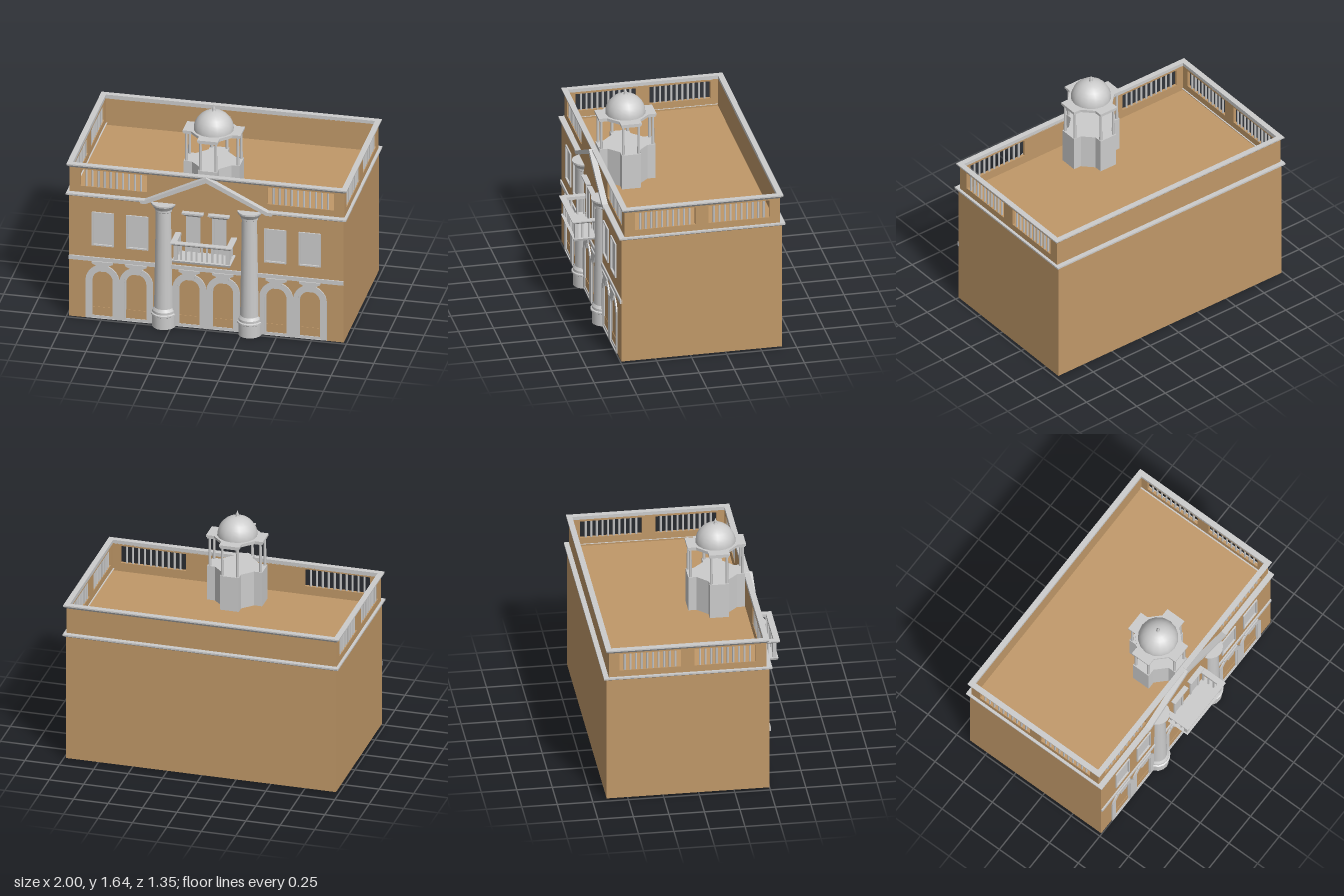
import * as THREE from 'three';

const grey = new THREE.MeshStandardMaterial({ color: 0xcccccc, side: THREE.DoubleSide });
const brown = new THREE.MeshStandardMaterial({ color: 0xc09868, side: THREE.DoubleSide });

function add(parent, name, geometry, material, x = 0, y = 0, z = 0) {
  const mesh = new THREE.Mesh(geometry, material);
  mesh.name = name;
  mesh.position.set(x, y, z);
  parent.add(mesh);
  return mesh;
}

// box given by its limits
function box(parent, name, mat, x0, x1, y0, y1, z0, z1) {
  return add(parent, name, new THREE.BoxGeometry(x1 - x0, y1 - y0, z1 - z0), mat,
    (x0 + x1) / 2, (y0 + y1) / 2, (z0 + z1) / 2);
}

const poly = (pts) => new THREE.Shape(pts.map((p) => new THREE.Vector2(p[0], p[1])));
const rect = (x0, x1, y0, y1) => poly([[x0, y0], [x1, y0], [x1, y1], [x0, y1]]);
const extrude = (shape, depth) =>
  new THREE.ExtrudeGeometry(shape, { depth, bevelEnabled: false, curveSegments: 8 });

function arch(cx, half, y0, spring = 0.31) {
  const s = new THREE.Shape();
  s.moveTo(cx - half, y0);
  s.lineTo(cx + half, y0);
  s.lineTo(cx + half, spring);
  s.absarc(cx, spring, half, 0, Math.PI, false);
  s.lineTo(cx - half, y0);
  return s;
}

// moulding: path points [x, z, outX, outZ], profile points [offset, y]
function moulding(path, profile) {
  const pos = [];
  const at = (p, q) => [p[0] + p[2] * q[0], q[1], p[1] + p[3] * q[0]];
  for (let i = 0; i < path.length - 1; i++) {
    for (let j = 0; j < profile.length - 1; j++) {
      const a = at(path[i], profile[j]), b = at(path[i + 1], profile[j]);
      const c = at(path[i + 1], profile[j + 1]), d = at(path[i], profile[j + 1]);
      pos.push(...a, ...c, ...b, ...a, ...d, ...c);
    }
  }
  const g = new THREE.BufferGeometry();
  g.setAttribute('position', new THREE.Float32BufferAttribute(pos, 3));
  g.computeVertexNormals();
  return g;
}

const archX = [-0.74, -0.5, -0.12, 0.12, 0.5, 0.74];
const windowX = [-0.738, -0.492, 0.492, 0.738];
const doorX = [-0.093, 0.093];

function buildWalls(g) {
  // front wall with openings, other walls, flat roof; open underneath
  const front = rect(-0.98, 0.98, 0.01, 0.96);
  for (const x of archX) front.holes.push(arch(x, 0.1, 0.016));
  for (const x of windowX) front.holes.push(rect(x - 0.072, x + 0.072, 0.586, 0.834));
  add(g, 'frontWall', new THREE.ShapeGeometry(front, 8), brown, 0, 0, 0.497);
  add(g, 'backWall', new THREE.PlaneGeometry(1.96, 0.95), brown, 0, 0.485, -0.65).rotation.y = Math.PI;
  for (const s of [-1, 1]) {
    add(g, 'sideWall', new THREE.PlaneGeometry(1.147, 0.95), brown, s * 0.98, 0.485, -0.0765).rotation.y = s * Math.PI / 2;
  }
  add(g, 'roof', new THREE.PlaneGeometry(1.96, 1.147), brown, 0, 0.955, -0.0765).rotation.x = -Math.PI / 2;
  box(g, 'beltCourse', grey, -0.98, 0.98, 0.457, 0.488, 0.49, 0.507);
}

function buildArches(g) {
  for (const x of archX) {
    const outer = arch(x, 0.12, 0.015);
    outer.holes.push(arch(x, 0.085, 0.016));
    add(g, 'archFrame', extrude(outer, 0.015), grey, 0, 0, 0.492);
    const inner = arch(x, 0.086, 0.015);
    inner.holes.push(arch(x, 0.072, 0.035));
    add(g, 'archInnerFrame', extrude(inner, 0.011), grey, 0, 0, 0.49);
    add(g, 'archPanel', new THREE.ShapeGeometry(arch(x, 0.074, 0.03), 8), brown, 0, 0, 0.493);
    box(g, 'archPlinth', brown, x - 0.072, x + 0.072, 0.035, 0.1, 0.49, 0.496);
    // scalloped keystone
    add(g, 'keystone', extrude(poly([[x - 0.032, 0.385], [x + 0.032, 0.385], [x + 0.045, 0.43],
      [x + 0.075, 0.445], [x + 0.075, 0.46], [x - 0.075, 0.46], [x - 0.075, 0.445], [x - 0.045, 0.43]]), 0.025), grey, 0, 0, 0.49);
  }
}

function buildWindows(g) {
  for (const x of windowX) {
    const frame = rect(x - 0.078, x + 0.078, 0.58, 0.84);
    frame.holes.push(rect(x - 0.068, x + 0.068, 0.59, 0.83));
    add(g, 'windowFrame', extrude(frame, 0.015), grey, 0, 0, 0.492);
    add(g, 'windowPanel', new THREE.ShapeGeometry(rect(x - 0.074, x + 0.074, 0.584, 0.836)), grey, 0, 0, 0.494);
  }
  // balcony doors with projecting heads
  for (const x of doorX) {
    const frame = rect(x - 0.05, x + 0.05, 0.59, 0.9);
    frame.holes.push(rect(x - 0.036, x + 0.036, 0.6, 0.885));
    add(g, 'doorFrame', extrude(frame, 0.015), grey, 0, 0, 0.492);
    box(g, 'doorPanel', grey, x - 0.04, x + 0.04, 0.59, 0.89, 0.49, 0.5);
    const head = moulding([[x - 0.05, 0.497, -1, 0], [x - 0.05, 0.507, -1, 1], [x + 0.05, 0.507, 1, 1], [x + 0.05, 0.497, 1, 0]],
      [[0, 0.88], [0.022, 0.902], [0.026, 0.902], [0.026, 0.915], [-0.01, 0.915]]);
    add(g, 'doorHead', head, grey);
  }
}

function buildColumns(g) {
  // half-round tapered columns
  const profile = [[0.083, 0], [0.083, 0.09], [0.093, 0.097], [0.093, 0.108], [0.083, 0.113], [0.083, 0.13],
    [0.07, 0.15], [0.058, 0.895], [0.064, 0.9], [0.064, 0.915], [0.07, 0.92], [0.09, 0.95], [0.09, 0.962], [0, 0.962]];
  // doubled points keep the mouldings crisp
  const pts = profile.flatMap((p) => [new THREE.Vector2(...p), new THREE.Vector2(...p)]).slice(1, -1);
  for (const x of [-0.307, 0.307]) {
    add(g, 'column', new THREE.LatheGeometry(pts, 8, -Math.PI / 2, Math.PI), grey, x, 0, 0.478);
  }
}

function buildBalcony(g) {
  const path = [[-0.19, 0.497, -1, 0], [-0.19, 0.65, -1, 1], [0.19, 0.65, 1, 1], [0.19, 0.497, 1, 0]];
  box(g, 'balconyFloor', grey, -0.19, 0.19, 0.585, 0.603, 0.49, 0.65);
  add(g, 'balconyFloorEdge', moulding(path, [[0, 0.583], [0.014, 0.59], [0.02, 0.607], [0, 0.607]]), grey);
  add(g, 'balconyRail', moulding(path, [[-0.012, 0.722], [0.012, 0.722], [0.03, 0.737], [0.03, 0.745], [-0.012, 0.745], [-0.012, 0.722]]), grey);
  const post = (x, z, w) => box(g, 'baluster', grey, x - w, x + w, 0.603, 0.725, z - w, z + w);
  for (const s of [-1, 1]) {
    post(s * 0.186, 0.645, 0.013);
    for (const z of [0.51, 0.555, 0.6]) post(s * 0.186, z, 0.006);
  }
  for (let i = 1; i < 10; i++) post(-0.186 + i * 0.0372, 0.645, 0.006);
}

function buildParapet(g) {
  const y0 = 0.95, y1 = 1.165, lo = 1.02, hi = 1.15;
  const pierced = (a, b, openings) => {
    const s = rect(a, b, y0, y1);
    for (const [l, r] of openings) s.holes.push(rect(l, r, lo, hi));
    return extrude(s, 0.02);
  };
  const frontOpen = [[-0.905, -0.43], [0.43, 0.905]];
  const sideOpen = [[-0.4, 0.03], [0.125, 0.56]];
  add(g, 'frontParapet', pierced(-0.98, 0.98, frontOpen), brown, 0, 0, 0.455);
  box(g, 'backParapet', brown, -0.98, 0.98, y0, y1, -0.635, -0.615);
  for (const x of [-0.98, 0.96]) {
    add(g, 'sideParapet', pierced(-0.474, 0.634, sideOpen), brown, x, 0, 0).rotation.y = Math.PI / 2;
  }
  const bars = (openings, place) => {
    for (const [l, r] of openings) {
      for (let i = 1; i <= 10; i++) place(l + (r - l) * i / 11);
    }
  };
  const bar = (x, z) => add(g, 'parapetBaluster', new THREE.CylinderGeometry(0.008, 0.008, hi - lo, 6), grey, x, (lo + hi) / 2, z);
  bars(frontOpen, (t) => bar(t, 0.465));
  for (const s of [-1, 1]) bars(sideOpen, (t) => bar(s * 0.97, -t));

  // flared cornices, the lower one broken by the pediment
  const lower = [[-0.43, 0.495, 0, 1], [-0.98, 0.495, -1, 1], [-0.98, -0.65, -1, -1],
    [0.98, -0.65, 1, -1], [0.98, 0.495, 1, 1], [0.43, 0.495, 0, 1]];
  add(g, 'lowerCornice', moulding(lower, [[0, 0.947], [0.02, 0.96], [0.02, 0.972], [-0.03, 0.972]]), grey);
  const upper = [[-0.98, 0.475, -1, 1], [-0.98, -0.635, -1, -1], [0.98, -0.635, 1, -1], [0.98, 0.475, 1, 1], [-0.98, 0.475, -1, 1]];
  add(g, 'upperCornice', moulding(upper, [[-0.02, 1.16], [0, 1.16], [0.02, 1.18], [0.02, 1.19], [-0.02, 1.19], [-0.02, 1.16]]), grey);

  // pediment
  add(g, 'pediment', extrude(poly([[-0.44, 0.95], [0.44, 0.95], [0, 1.17]]), 0.027), brown, 0, 0, 0.471);
  add(g, 'pedimentMoulding', extrude(poly([[-0.43, 0.947], [0, 1.155], [0.43, 0.947], [0.47, 0.947], [0.47, 0.972],
    [0.44, 0.972], [0, 1.192], [-0.44, 0.972], [-0.47, 0.972], [-0.47, 0.947]]), 0.045), grey, 0, 0, 0.471);
}

function buildCupola(g) {
  const c = new THREE.Group();
  c.name = 'cupola';
  c.position.z = 0.255;
  g.add(c);
  // octagon with four projecting arms
  const plan = (grow) => {
    const pts = [];
    for (let k = 0; k < 4; k++) {
      const a = k * Math.PI / 2, co = Math.cos(a), si = Math.sin(a);
      for (const [x, y] of [[0.142, -0.068], [0.2, -0.068], [0.2, 0.068], [0.142, 0.068]]) {
        const px = x + grow, py = y + Math.sign(y) * grow;
        pts.push([px * co - py * si, px * si + py * co]);
      }
    }
    return poly(pts);
  };
  const slab = (name, grow, y0, y1) =>
    add(c, name, extrude(plan(grow), y1 - y0), grey, 0, y0, 0).rotation.x = -Math.PI / 2;
  slab('cupolaBase', 0, 0.95, 1.216);
  slab('entablature', 0, 1.428, 1.44);
  slab('entablatureCap', 0.006, 1.44, 1.455);
  for (const s of [-1, 1]) {
    for (const t of [-1, 1]) {
      for (const [x, z] of [[s * 0.055, t * 0.184], [s * 0.184, t * 0.055]]) {
        add(c, 'cupolaColumn', new THREE.CylinderGeometry(0.009, 0.011, 0.214, 8), grey, x, 1.322, z);
      }
    }
  }
  add(c, 'dome', new THREE.SphereGeometry(0.142, 16, 8, 0, Math.PI * 2, 0, Math.PI / 2), grey, 0, 1.452, 0);
  const finial = [[0.014, 1.588], [0.014, 1.597], [0.007, 1.603], [0.012, 1.612], [0.005, 1.624], [0, 1.643]];
  add(c, 'finial', new THREE.LatheGeometry(finial.map((p) => new THREE.Vector2(...p)), 10), grey);
}

export function createModel() {
  const g = new THREE.Group();
  g.name = 'building';
  for (const build of [buildWalls, buildArches, buildWindows, buildColumns, buildBalcony, buildParapet, buildCupola]) build(g);
  return g;
}
